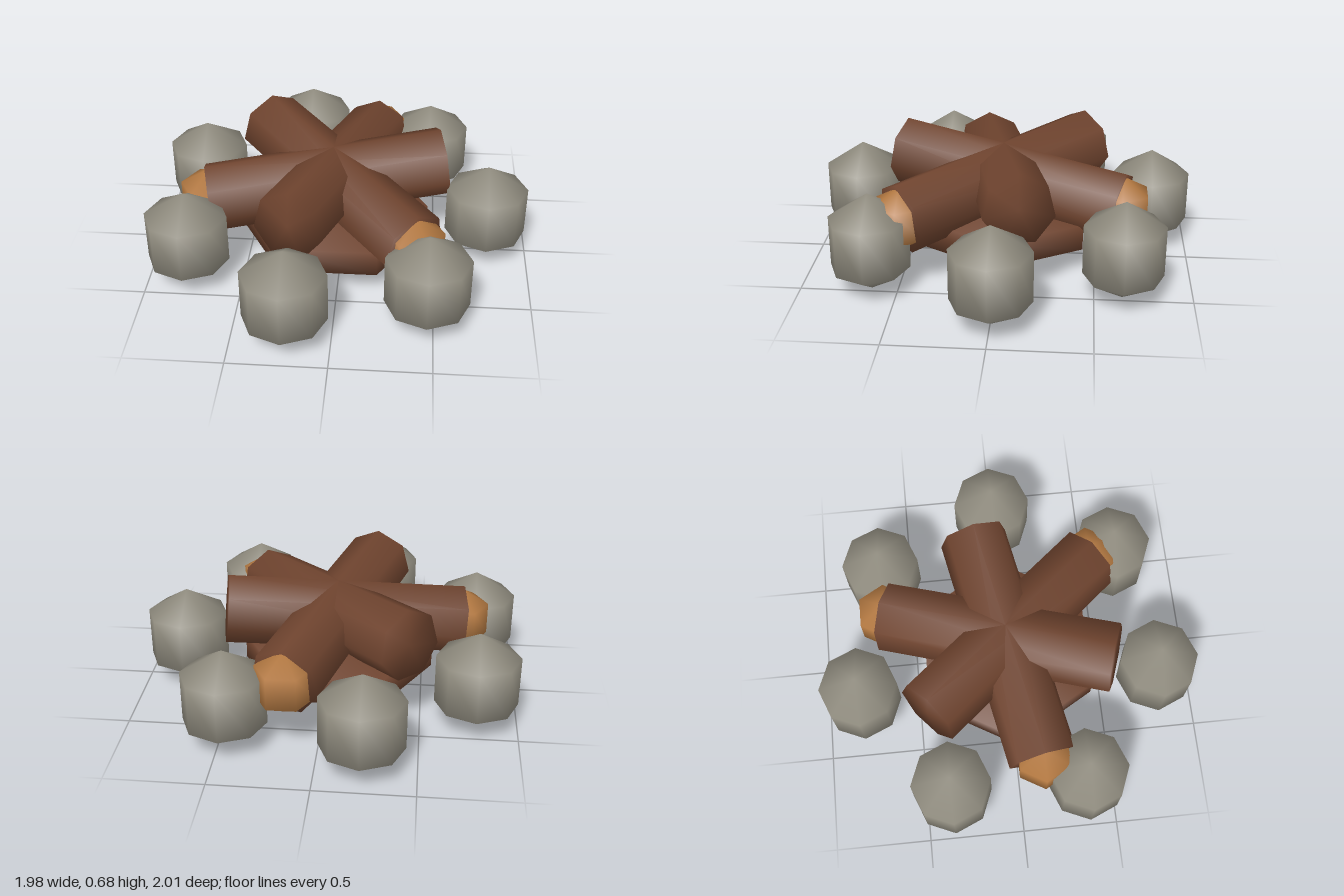
import * as THREE from 'three';
import { mergeVertices } from 'three/addons/utils/BufferGeometryUtils.js';

const material = (name, color) => {
  const m = new THREE.MeshStandardMaterial({ color });
  m.name = name;
  return m;
};

// Weld all seams so that sides and caps share smooth normals
function smooth(geometry) {
  geometry.deleteAttribute('uv');
  geometry.deleteAttribute('normal');
  const welded = mergeVertices(geometry, 1e-4);
  welded.computeVertexNormals();
  return welded;
}

export function createModel() {
  const model = new THREE.Group();
  model.name = 'campfire';
  const bark = material('bark brown', 0x6e432e);
  const ember = material('ember orange', 0xb57a42);
  const rock = material('stone grey', 0x918d80);
  const cx = -0.046;

  const add = (name, geometry, mat, x, y, z) => {
    const mesh = new THREE.Mesh(geometry, mat);
    mesh.name = name;
    mesh.position.set(x, y, z);
    model.add(mesh);
    return mesh;
  };

  // Flat mound under the logs
  const mound = new THREE.SphereGeometry(1, 6, 3);
  mound.scale(0.583, 0.14, 0.583);
  add('mound', smooth(mound), bark, cx, 0.2, 0);

  // Ring of seven stones
  const stone = new THREE.SphereGeometry(1, 8, 3);
  stone.scale(0.247, 0.265, 0.237);
  for (let i = 0; i < 7; i++) {
    const a = (i / 7) * Math.PI * 2;
    add('stone', stone, rock, cx + 0.818 * Math.cos(a), 0.265, -0.003 - 0.818 * Math.sin(a));
  }

  // Three crossed, tilted logs, each with an ember at its low end
  const length = 1.255, tilt = 0.104;
  const log = new THREE.CylinderGeometry(0.185, 0.185, length, 7);
  log.rotateX(-Math.PI / 2);
  const logGeometry = smooth(log);
  const emberGeometry = new THREE.SphereGeometry(0.171, 6, 3);
  for (let i = 0; i < 3; i++) {
    const a = THREE.MathUtils.degToRad(11.5 + i * 120);
    const dx = Math.cos(a), dz = -Math.sin(a);
    const x = cx - 0.037 * dx, z = -0.005 - 0.037 * dz, y = 0.43;
    const mesh = add('log', logGeometry, bark, x, y, z);
    mesh.rotation.set(tilt, a - Math.PI / 2, 0, 'YXZ');
    const reach = (length / 2) * Math.cos(tilt);
    add('ember', emberGeometry, ember,
      x - reach * dx, y - (length / 2) * Math.sin(tilt), z - reach * dz);
  }
  return model;
}
